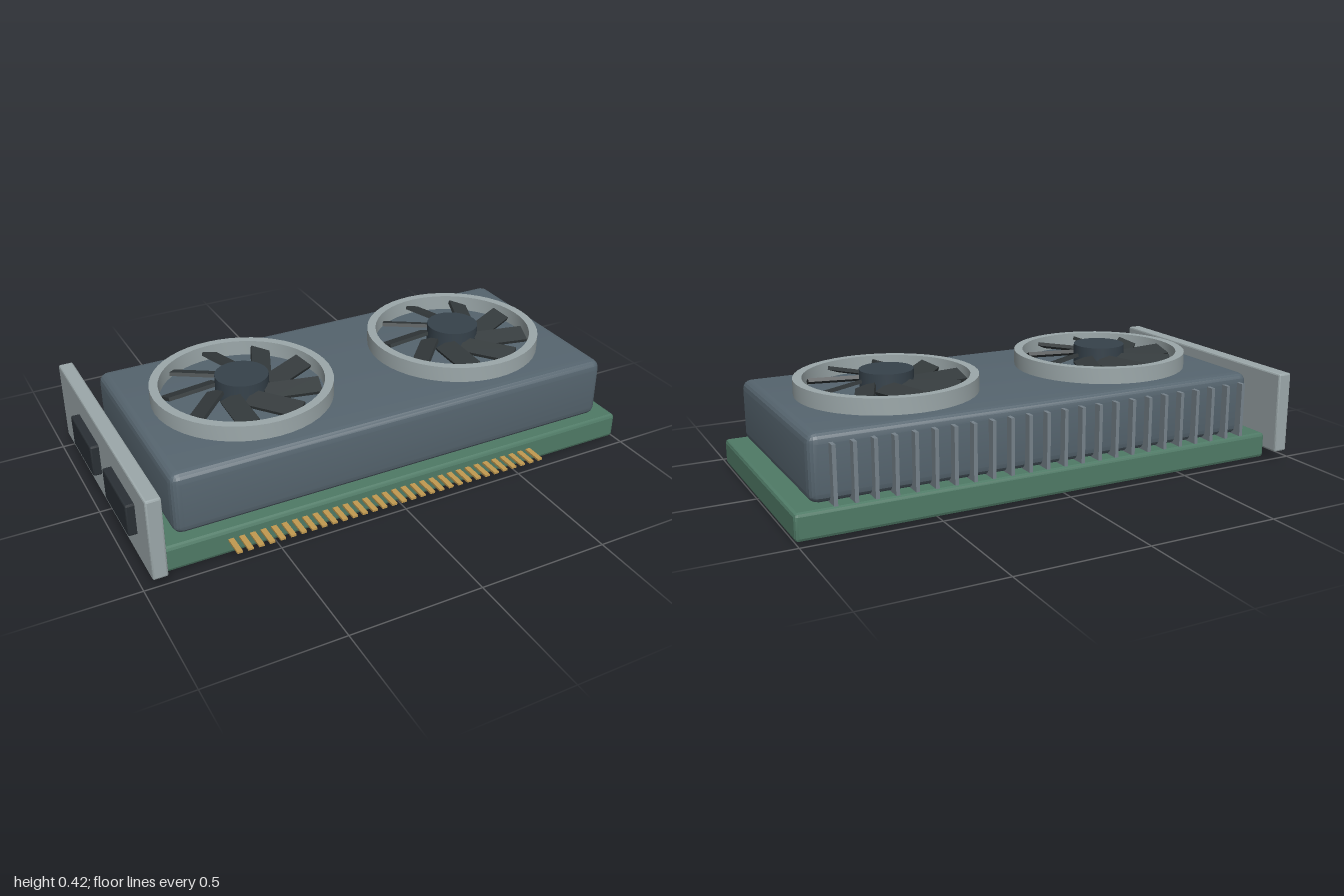
import * as THREE from 'three';
import { toCreasedNormals } from 'three/addons/utils/BufferGeometryUtils.js';
import { RoundedBoxGeometry } from 'three/addons/geometries/RoundedBoxGeometry.js';

const paint = (color) => new THREE.MeshStandardMaterial({ color });
const green = paint(0x4f7a66);
const slate = paint(0x56656f);
const finGrey = paint(0x76828a);
const silver = paint(0x9ca8aa);
const bladeGrey = paint(0x343a3c);
const hubGrey = paint(0x36424b);
const gold = paint(0xc29a50);
const black = paint(0x2a3035);

function add(parent, name, geometry, material, x = 0, y = 0, z = 0) {
  const mesh = new THREE.Mesh(geometry, material);
  mesh.name = name;
  mesh.position.set(x, y, z);
  parent.add(mesh);
  return mesh;
}

// Bevelled block given by its limits on each axis
function block(parent, name, material, [x0, x1], [y0, y1], [z0, z1], bevel, segments = 1) {
  const geometry = toCreasedNormals(
    new RoundedBoxGeometry(x1 - x0, y1 - y0, z1 - z0, segments, bevel), 0.3);
  return add(parent, name, geometry, material, (x0 + x1) / 2, (y0 + y1) / 2, (z0 + z1) / 2);
}

// Fan: open ring, hub and nine swept, pitched blades
function createFan(x) {
  const fan = new THREE.Group();
  fan.name = 'fan';
  fan.position.set(x, 0.34, -0.008);

  const profile = [[0.307, 0], [0.34, 0], [0.34, 0.062], [0.307, 0.062], [0.307, 0]]
    .map(([r, y]) => new THREE.Vector2(r, y));
  add(fan, 'fanRing', toCreasedNormals(new THREE.LatheGeometry(profile, 48), 0.5), silver);
  add(fan, 'fanHub', new THREE.CylinderGeometry(0.1, 0.1, 0.084, 32), hubGrey, 0, 0.042, 0);

  const bladeGeometry = new THREE.BoxGeometry(0.21, 0.014, 0.075);
  bladeGeometry.rotateX(0.35);
  for (let i = 0; i < 9; i++) {
    const angle = THREE.MathUtils.degToRad(40 * i - 5);
    const blade = add(fan, 'fanBlade', bladeGeometry, bladeGrey,
      0.19 * Math.cos(angle), 0.035, 0.19 * Math.sin(angle));
    blade.rotation.y = 0.4 - angle;
  }
  return fan;
}

export function createModel() {
  const card = new THREE.Group();
  card.name = 'graphicsCard';

  // Circuit board and cooler cover
  block(card, 'circuitBoard', green, [-0.912, 1], [0, 0.1], [-0.462, 0.447], 0.013);
  block(card, 'coolerCover', slate, [-0.848, 0.933], [0.1, 0.342], [-0.42, 0.408], 0.036, 2);

  // Fans
  card.add(createFan(-0.416), createFan(0.498));

  // Heat sink fins along the back
  const finGeometry = new THREE.BoxGeometry(0.014, 0.215, 0.08);
  for (let i = 0; i < 24; i++) {
    add(card, 'heatSinkFin', finGeometry, finGrey, -0.8 + 0.072 * i, 0.202, -0.411);
  }

  // Edge connector pins along the front
  const pinGeometry = new THREE.BoxGeometry(0.02, 0.008, 0.1);
  for (let i = 0; i < 32; i++) {
    add(card, 'connectorPin', pinGeometry, gold, -0.665 + 0.04 * i, 0.059, 0.478);
  }

  // Mounting bracket with two ports
  block(card, 'mountingBracket', silver, [-0.968, -0.912], [0.037, 0.351], [-0.526, 0.51], 0.007);
  for (const [z0, z1] of [[-0.272, -0.02], [0.126, 0.382]]) {
    block(card, 'port', black, [-1, -0.955], [0.142, 0.265], [z0, z1], 0.006);
  }

  return card;
}
